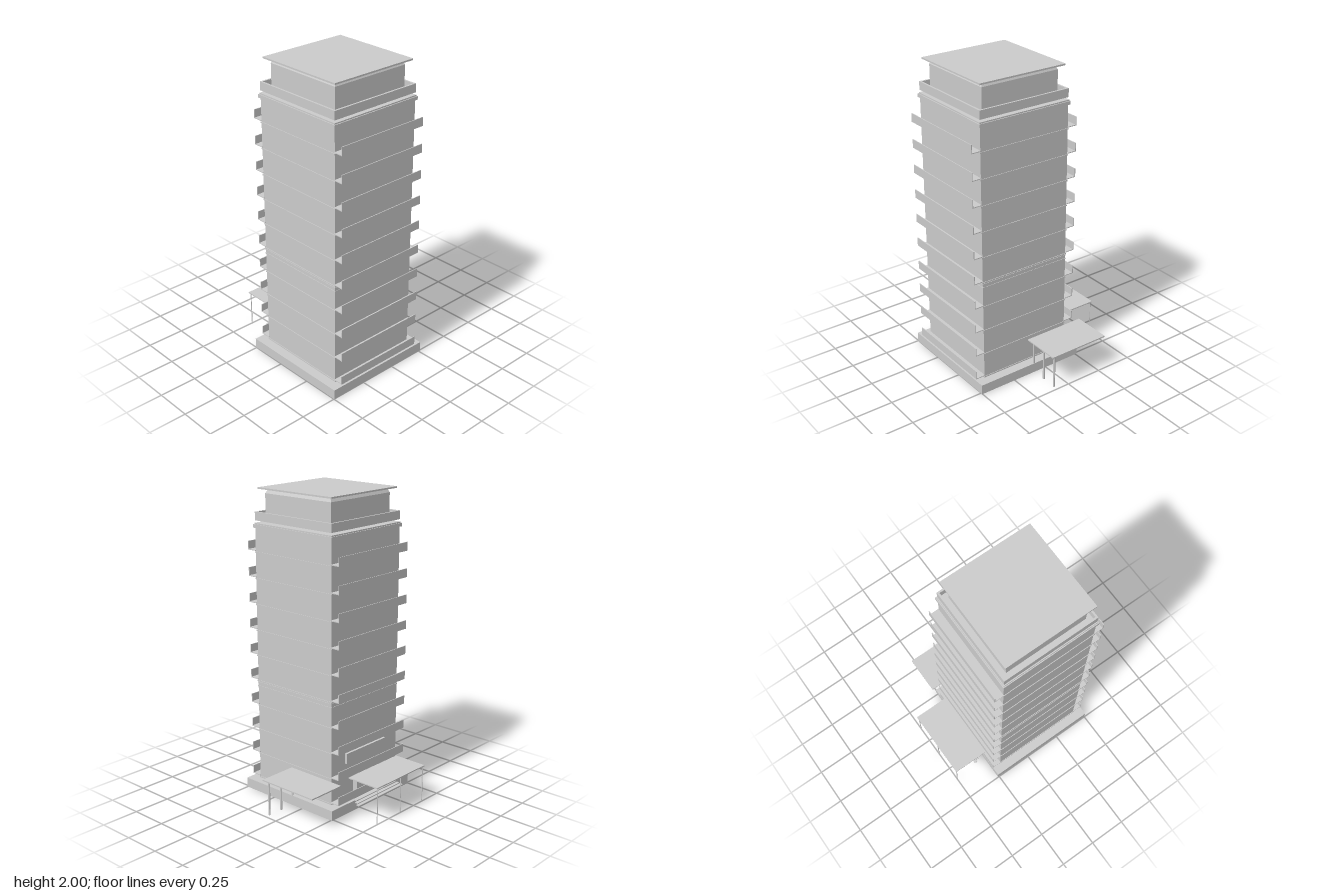
import * as THREE from 'three';

const material = new THREE.MeshStandardMaterial({ color: 0xcccccc, flatShading: true });
const CX = -0.117, CZ = 0.122; // tower axis

// Box given by its lower and upper bounds on each axis
function block(parent, name, x0, x1, y0, y1, z0, z1) {
  const mesh = new THREE.Mesh(new THREE.BoxGeometry(x1 - x0, y1 - y0, z1 - z0), material);
  mesh.position.set((x0 + x1) / 2, (y0 + y1) / 2, (z0 + z1) / 2);
  mesh.name = name;
  parent.add(mesh);
  return mesh;
}

// Square storey centred on the tower axis
function storey(parent, name, half, y0, y1) {
  return block(parent, name, CX - half, CX + half, y0, y1, CZ - half, CZ + half);
}

function post(parent, x, z, radius, height) {
  const mesh = new THREE.Mesh(new THREE.CylinderGeometry(radius, radius, height, 12), material);
  mesh.position.set(x, height / 2, z);
  mesh.name = 'canopyPost';
  parent.add(mesh);
}

export function createModel() {
  const model = new THREE.Group();
  model.name = 'towerBlock';

  // Base and shaft
  storey(model, 'plinth', 0.381, 0, 0.065);
  storey(model, 'shaft', 0.318, 0.065, 1.755);

  // Balconies on front and back, with a thin floor band per storey
  for (let i = 0; i < 10; i++) {
    const y = 0.08 + i * 0.1693;
    storey(model, 'floorBand', 0.322, y - 0.012, y - 0.004);
    for (const side of [1, -1]) {
      const balcony = new THREE.Group();
      balcony.name = side > 0 ? 'frontBalcony' : 'backBalcony';
      const wall = CZ + side * 0.316, edge = CZ + side * 0.382, inner = CZ + side * 0.377;
      block(balcony, 'balconySlab', CX - 0.322, CX + 0.322, y, y + 0.005,
        Math.min(wall, edge), Math.max(wall, edge));
      block(balcony, 'balconyRail', CX - 0.322, CX + 0.322, y, y + 0.056,
        Math.min(inner, edge), Math.max(inner, edge));
      model.add(balcony);
    }
  }

  // Belt courses
  for (const y of [0.71, 0.735, 1.25]) storey(model, 'beltCourse', 0.321, y, y + 0.007);

  // Cornice in two steps
  storey(model, 'corniceLower', 0.328, 1.75, 1.772);
  storey(model, 'corniceUpper', 0.322, 1.772, 1.78);

  // Hollow parapet over a shadow gap
  const parapet = new THREE.Group();
  parapet.name = 'parapet';
  const o = 0.319, n = 0.307;
  storey(parapet, 'parapetFloor', o, 1.795, 1.803);
  for (const s of [1, -1]) {
    const a = Math.min(s * o, s * n), b = Math.max(s * o, s * n);
    block(parapet, 'parapetWall', CX - o, CX + o, 1.803, 1.85, CZ + a, CZ + b);
    block(parapet, 'parapetWall', CX + a, CX + b, 1.803, 1.85, CZ - n, CZ + n);
  }
  model.add(parapet);

  // Penthouse with bevelled top and floating roof slab
  storey(model, 'penthouse', 0.272, 1.803, 1.963);
  const bevel = new THREE.Mesh(
    new THREE.CylinderGeometry(0.262 * Math.SQRT2, 0.272 * Math.SQRT2, 0.02, 4, 1), material);
  bevel.rotation.y = Math.PI / 4;
  bevel.position.set(CX, 1.973, CZ);
  bevel.name = 'penthouseBevel';
  model.add(bevel);
  storey(model, 'roofSlab', 0.304, 1.99, 2.0);

  // Side canopy on three posts
  const sideCanopy = new THREE.Group();
  sideCanopy.name = 'sideCanopy';
  block(sideCanopy, 'canopyRoof', 0.23, 0.49, 0.232, 0.24, -0.302, 0.12);
  for (const x of [0.255, 0.36, 0.465]) post(sideCanopy, x, 0.09, 0.007, 0.233);
  model.add(sideCanopy);

  // Back canopy on three slender posts
  const backCanopy = new THREE.Group();
  backCanopy.name = 'backCanopy';
  block(backCanopy, 'canopyRoof', -0.352, 0.123, 0.243, 0.25, -0.505, -0.27);
  for (const x of [-0.34, -0.115, 0.112]) post(backCanopy, x, -0.497, 0.003, 0.244);
  model.add(backCanopy);

  // Back entrance: door, wall panel and steps
  block(model, 'entranceDoor', CX - 0.11, CX + 0.11, 0.065, 0.2, -0.23, -0.19);
  block(model, 'wallPanel', CX - 0.19, CX + 0.19, 0.308, 0.376, -0.212, -0.19);
  for (let i = 0; i < 3; i++) {
    const y = 0.083 - i * 0.008, z = -0.28 - i * 0.02, w = 0.2 + i * 0.01;
    block(model, 'entranceStep', CX - w, CX + w, y, y + 0.006, z - 0.023, z);
  }
  return model;
}
